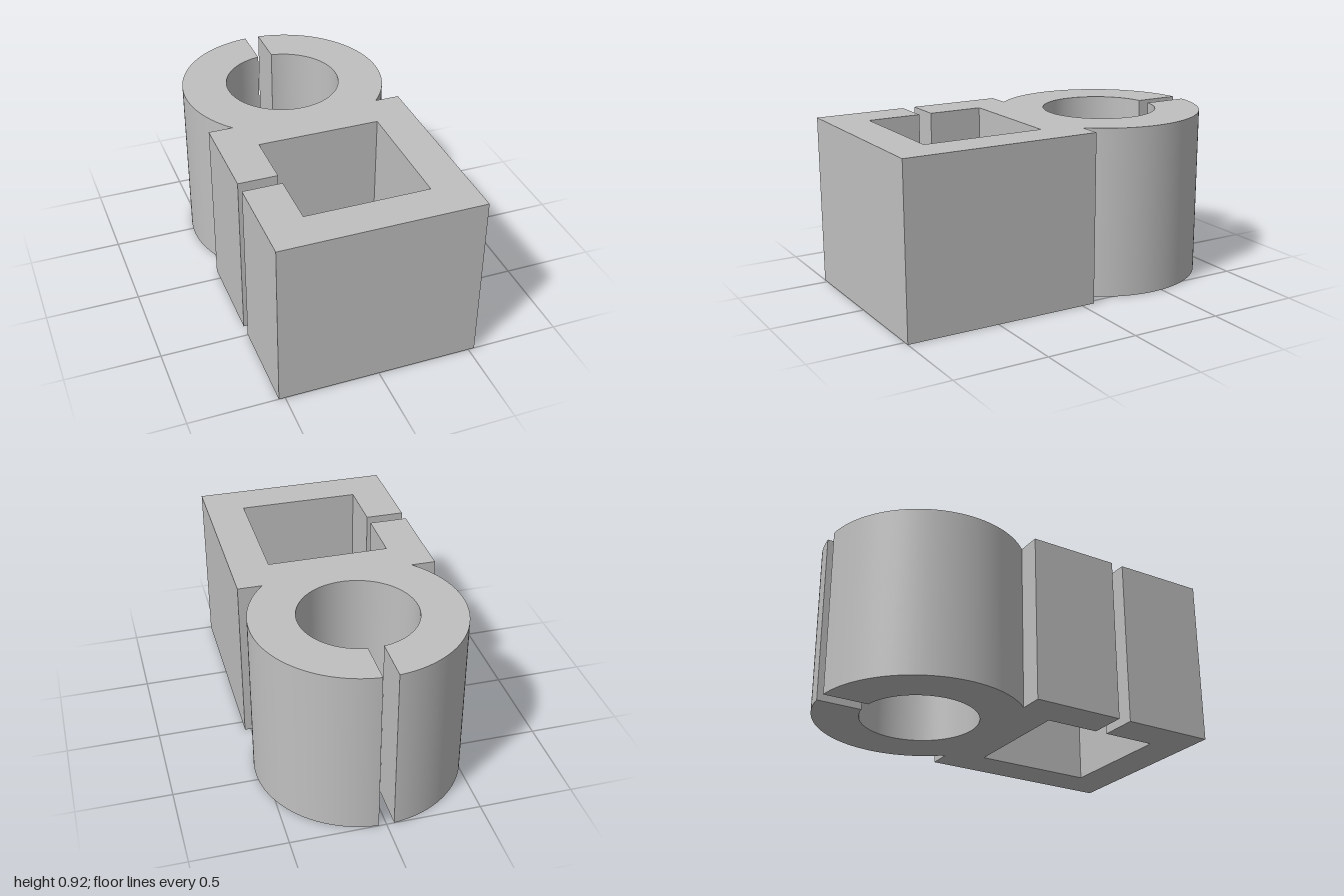
import * as THREE from 'three';
import { toCreasedNormals } from 'three/addons/utils/BufferGeometryUtils.js';

const HEIGHT = 0.915;
const RING = { y: 0.448, outer: 0.552, inner: 0.31, slot: 0.04 };
const BOX = { half: 0.533, front: -1, back: 0.071 };
const HOLE = { half: 0.326, front: -0.79, back: -0.131 };
const SIDE_SLOT = { front: -0.498, back: -0.429 };

// Plan of the clip, drawn with the front pointing to -y. Both slots open
// their holes to the outside, so a single outline describes everything.
function clipOutline() {
  const s = new THREE.Shape();
  const join = Math.asin((BOX.back - RING.y) / RING.outer);
  const outerGap = Math.asin(RING.slot / RING.outer);
  const innerGap = Math.asin(RING.slot / RING.inner);
  const up = Math.PI / 2;

  // square socket, outside
  s.moveTo(-BOX.half, SIDE_SLOT.front);
  s.lineTo(-BOX.half, BOX.front);
  s.lineTo(BOX.half, BOX.front);
  s.lineTo(BOX.half, BOX.back);
  // round socket: right half, slot, bore, slot, left half
  s.lineTo(RING.outer * Math.cos(join), BOX.back);
  s.absarc(0, RING.y, RING.outer, join, up - outerGap, false);
  s.absarc(0, RING.y, RING.inner, up - innerGap, up + innerGap - 2 * Math.PI, true);
  s.absarc(0, RING.y, RING.outer, up + outerGap, Math.PI - join, false);
  // back left corner, side slot and square hole
  s.lineTo(-BOX.half, BOX.back);
  s.lineTo(-BOX.half, SIDE_SLOT.back);
  s.lineTo(-HOLE.half, SIDE_SLOT.back);
  s.lineTo(-HOLE.half, HOLE.back);
  s.lineTo(HOLE.half, HOLE.back);
  s.lineTo(HOLE.half, HOLE.front);
  s.lineTo(-HOLE.half, HOLE.front);
  s.lineTo(-HOLE.half, SIDE_SLOT.front);
  s.closePath();
  return s;
}

export function createModel() {
  const group = new THREE.Group();
  group.name = 'doubleSocketClip';

  const grey = new THREE.MeshStandardMaterial({ color: 0xc0c0c0 });
  grey.name = 'light grey';

  // extrude upward, smooth along the round walls and sharp at the corners
  const solid = new THREE.ExtrudeGeometry(clipOutline(), {
    depth: HEIGHT, bevelEnabled: false, curveSegments: 64,
  });
  solid.rotateX(-Math.PI / 2);
  const body = new THREE.Mesh(toCreasedNormals(solid, 0.5), grey);
  body.name = 'clipBody';
  group.add(body);
  return group;
}
